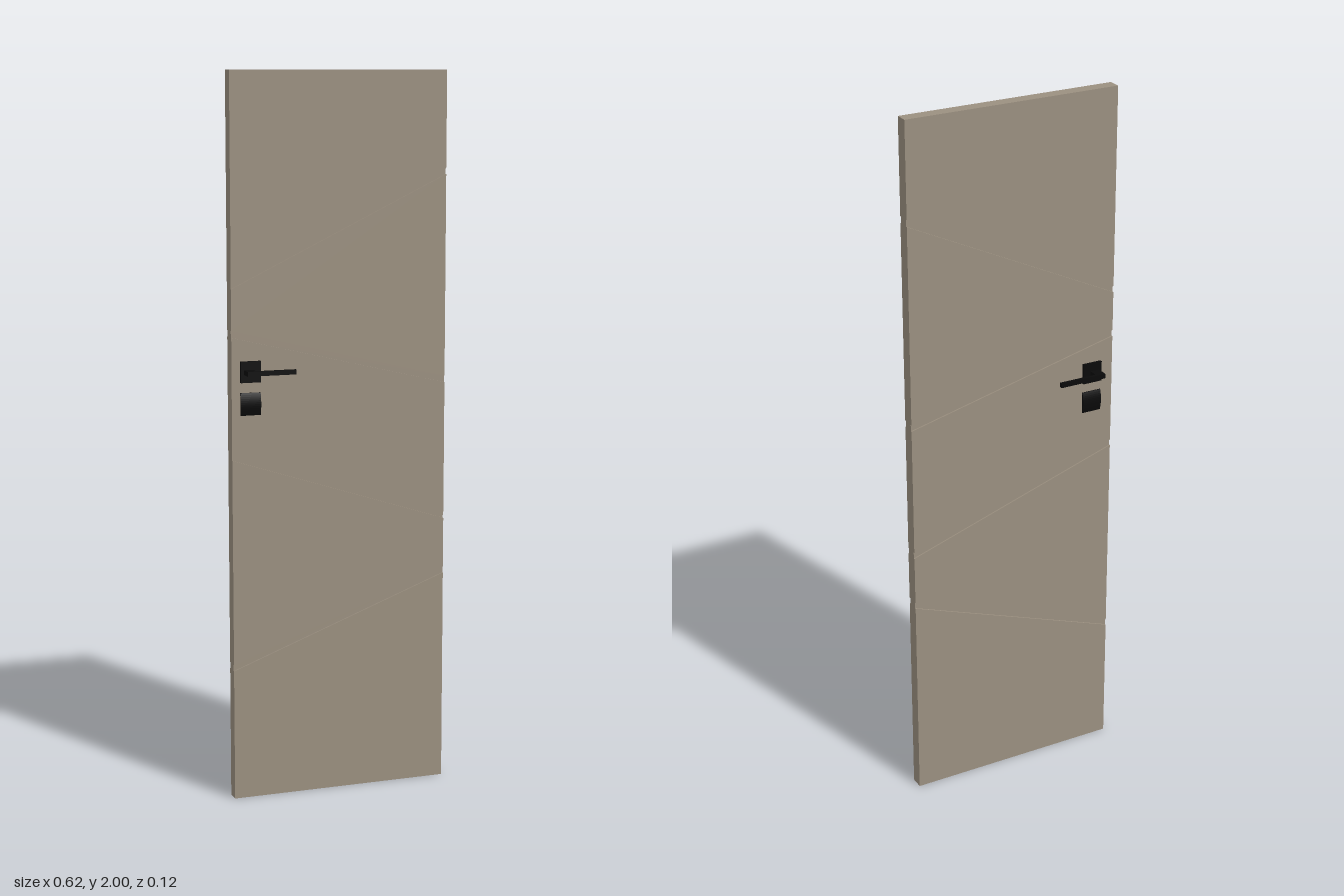
import * as THREE from 'three';

export function createModel() {
  const door = new THREE.Group();
  door.name = 'door';
  const wood = new THREE.MeshStandardMaterial({ color: 0x9b9080 });
  wood.name = 'taupe';
  const metal = new THREE.MeshStandardMaterial({ color: 0x0a0a0a });
  metal.name = 'black';

  const HALF = 0.31, BACK = -0.02, FRONT = 0.017, GROOVE = 0.009, DEPTH = 0.004;

  // Slab of the leaf between two slanted edges, each given as [y at -x, y at +x]
  function slab(name, low, high, z0, z1) {
    const shape = new THREE.Shape([
      new THREE.Vector2(-HALF, low[0]), new THREE.Vector2(HALF, low[1]),
      new THREE.Vector2(HALF, high[1]), new THREE.Vector2(-HALF, high[0]),
    ]);
    const geo = new THREE.ExtrudeGeometry(shape, { depth: z1 - z0, bevelEnabled: false });
    const mesh = new THREE.Mesh(geo.translate(0, 0, z0), wood);
    mesh.name = name;
    door.add(mesh);
  }

  // Panels separated by slanted grooves cut into both faces
  const grooves = [[0.375, 0.605], [0.965, 0.763], [1.3, 1.15], [1.43, 1.727]];
  const shift = (line, d) => line.map((y) => y + d);
  let low = [0, 0];
  grooves.forEach((line, i) => {
    const under = shift(line, -GROOVE), over = shift(line, GROOVE);
    slab('panel' + (i + 1), low, under, BACK, FRONT);
    slab('grooveFloor' + (i + 1), under, over, BACK + DEPTH, FRONT - DEPTH);
    low = over;
  });
  slab('panel5', low, [2, 2], BACK, FRONT);

  // Lever set for one face; dir is +1 for the front and -1 for the back
  function leverSet(name, x, face, dir, reach) {
    const set = new THREE.Group();
    set.name = name;
    const box = (part, x0, x1, y0, y1, d0, d1) => {
      const mesh = new THREE.Mesh(new THREE.BoxGeometry(x1 - x0, y1 - y0, d1 - d0), metal);
      mesh.position.set((x0 + x1) / 2, (y0 + y1) / 2, face + dir * (d0 + d1) / 2);
      mesh.name = part;
      set.add(mesh);
    };
    box('handlePlate', x - 0.0285, x + 0.0285, 1.168, 1.226, 0, 0.0075);
    box('handleStem', x - 0.02, x + 0.007, 1.19, 1.203, 0.0075, reach);
    box('handleLever', x + 0.007, x + 0.118, 1.19, 1.203, reach - 0.009, reach);

    // Lock cover with an outward-bowed face
    const bow = new THREE.Shape();
    bow.moveTo(0, -0.031);
    bow.lineTo(0.002, -0.031);
    bow.quadraticCurveTo(0.013, 0, 0.002, 0.031);
    bow.lineTo(0, 0.031);
    const geo = new THREE.ExtrudeGeometry(bow, { depth: 0.057, bevelEnabled: false, curveSegments: 12 });
    geo.translate(0, 0, -0.0285).rotateY(-dir * Math.PI / 2);
    const cover = new THREE.Mesh(geo, metal);
    cover.name = 'lockCover';
    cover.position.set(x, 1.109, face);
    set.add(cover);
    door.add(set);
  }
  leverSet('frontHandle', -0.2575, FRONT, 1, 0.043);
  leverSet('backHandle', -0.2445, BACK, -1, 0.042);

  return door;
}
